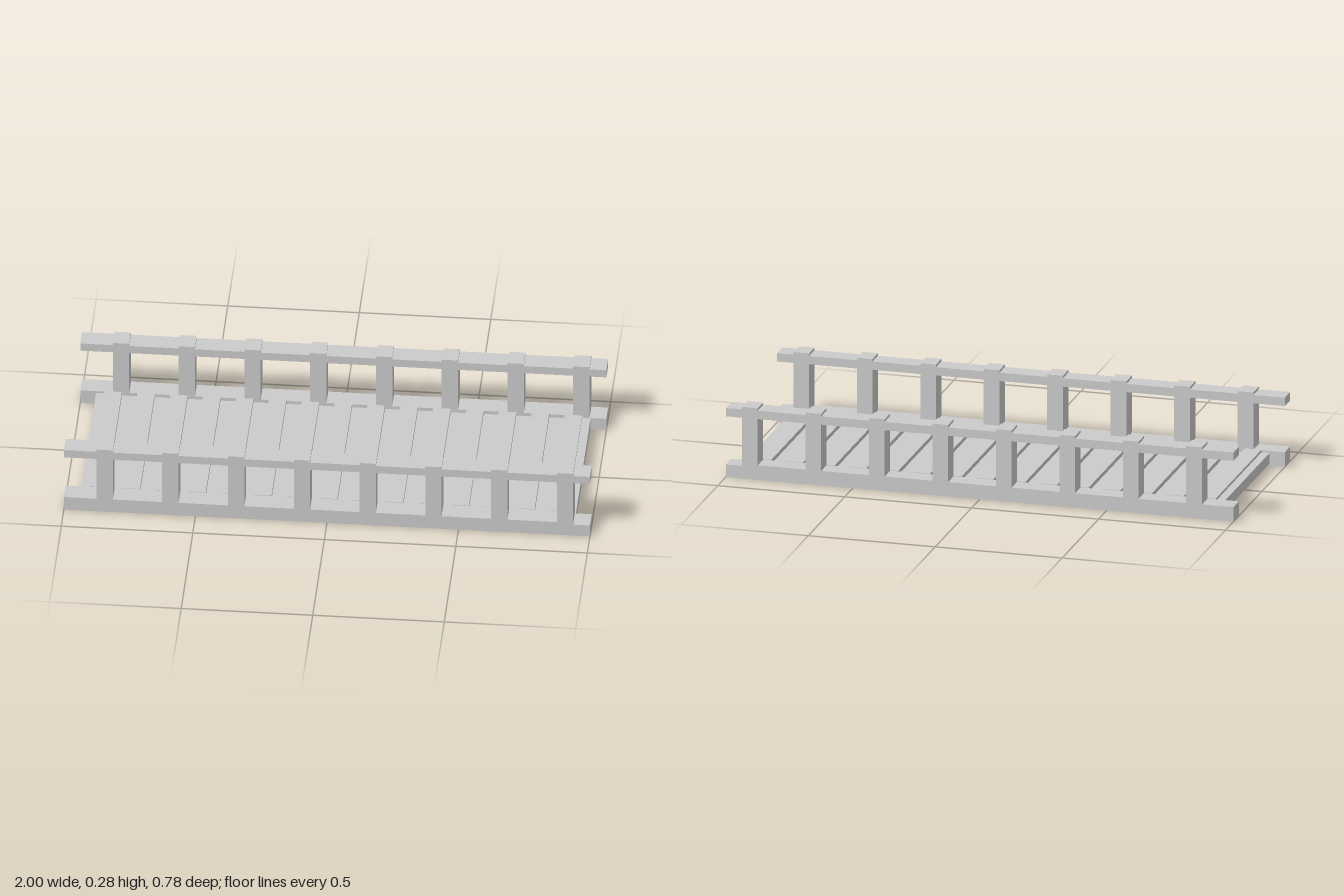
import * as THREE from 'three';

const material = new THREE.MeshStandardMaterial({ color: 0xcccccc, flatShading: true });

// Box given by its min and max corners
function block(parent, name, [x0, y0, z0], [x1, y1, z1]) {
  const mesh = new THREE.Mesh(new THREE.BoxGeometry(x1 - x0, y1 - y0, z1 - z0), material);
  mesh.position.set((x0 + x1) / 2, (y0 + y1) / 2, (z0 + z1) / 2);
  mesh.name = name;
  parent.add(mesh);
}

// One railing: ground beam, posts and handrail
function railing(name, z0, z1) {
  const side = new THREE.Group();
  side.name = name;
  block(side, 'groundBeam', [-1, 0, z0], [0.935, 0.058, z1]);
  block(side, 'groundBeamEnd', [0.935, 0, z0], [1, 0.05, z1]);
  block(side, 'handrail', [-1, 0.242, z0], [1, 0.275, z1]);
  for (let i = 0; i < 8; i++) {
    const x = -0.845 + i * 0.25;
    block(side, 'post', [x - 0.031, 0.05, z0], [x + 0.031, 0.285, z1]);
  }
  return side;
}

export function createModel() {
  const bridge = new THREE.Group();
  bridge.name = 'footbridge';
  const inner = 0.315, outer = 0.39;
  bridge.add(railing('leftRailing', inner, outer), railing('rightRailing', -outer, -inner));

  // Deck with end beams and a central rib underneath
  const deck = new THREE.Group();
  deck.name = 'deck';
  block(deck, 'deckSlab', [-0.86, 0.033, -inner], [0.86, 0.044, inner]);
  block(deck, 'endBeam', [0.86, 0.008, -inner], [0.94, 0.05, inner]);
  block(deck, 'endBeam', [-0.94, 0.008, -inner], [-0.86, 0.05, inner]);
  block(deck, 'centreRib', [-0.86, 0.008, -0.04], [0.86, 0.033, 0.04]);

  // Raised planks
  for (let i = 0; i < 15; i++) {
    const x = -0.875 + i * 0.125;
    block(deck, 'plank', [x - 0.033, 0.04, -inner], [x + 0.033, 0.06, inner]);
  }
  bridge.add(deck);
  return bridge;
}
